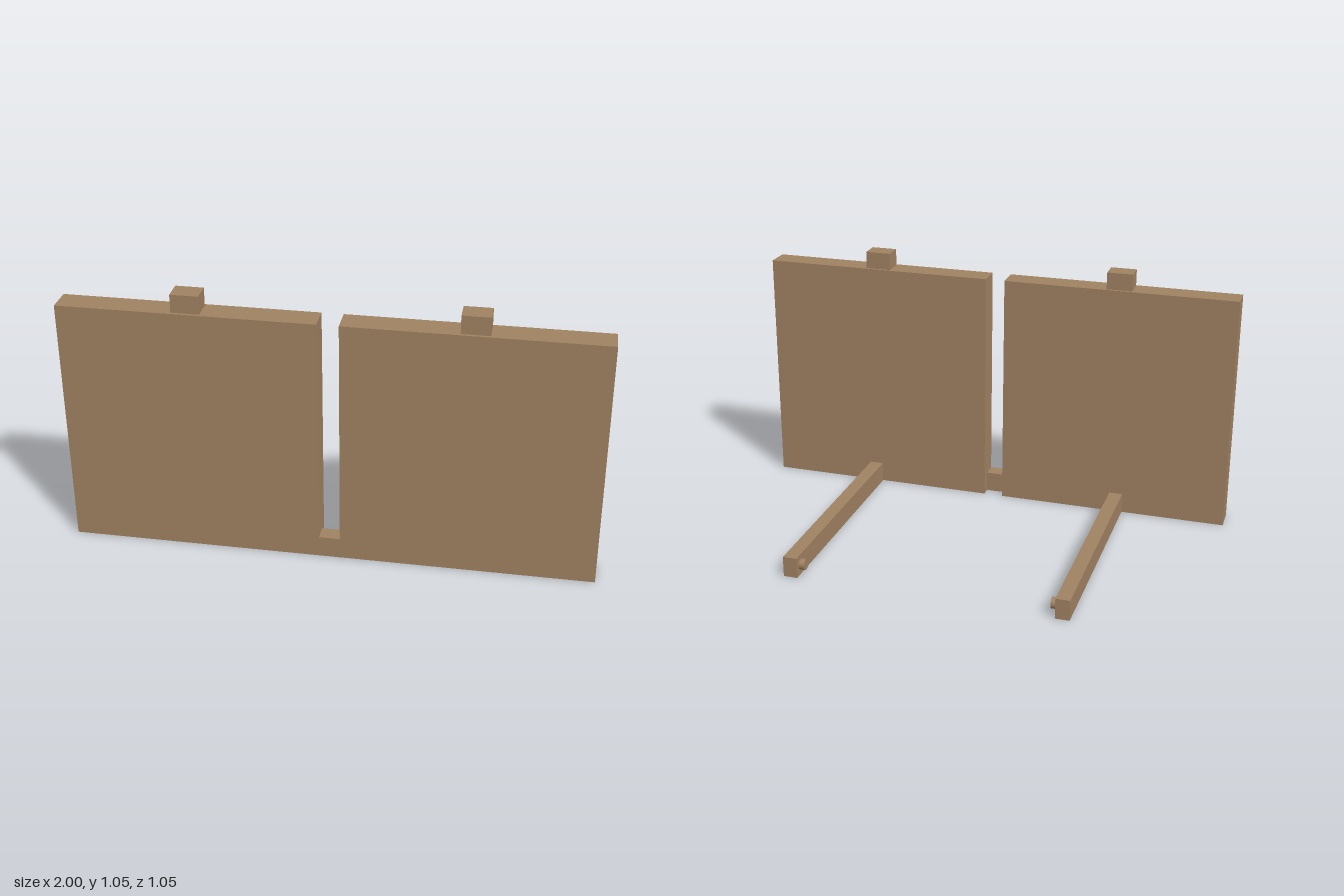
import * as THREE from 'three';

export function createModel() {
  const model = new THREE.Group();
  const wood = new THREE.MeshStandardMaterial({ color: 0xa08262 });
  wood.name = 'brown wood';

  // Box given by its extents along each axis
  function block(name, [x0, x1], [y0, y1], [z0, z1]) {
    const mesh = new THREE.Mesh(new THREE.BoxGeometry(x1 - x0, y1 - y0, z1 - z0), wood);
    mesh.position.set((x0 + x1) / 2, (y0 + y1) / 2, (z0 + z1) / 2);
    mesh.name = name;
    model.add(mesh);
  }

  // Low bridge joining the two panels, flush with their front
  block('bridge', [-0.04, 0.04], [0, 0.083], [0.465, 0.527]);

  for (const [side, s] of [['left', 1], ['right', -1]]) {
    const span = (a, b) => (s > 0 ? [a, b] : [-b, -a]);
    block(side + 'Panel', span(0.04, 1), [0, 0.976], [0.425, 0.527]);
    block(side + 'TopTab', span(0.465, 0.57), [0.976, 1.046], [0.436, 0.516]);
    block(side + 'Arm', span(0.514, 0.57), [0, 0.083], [-0.527, 0.425]);

    // Round peg on the inner face of the arm, near its rear end
    const peg = new THREE.Mesh(new THREE.CylinderGeometry(0.022, 0.022, 0.024, 16), wood);
    peg.rotation.z = Math.PI / 2;
    peg.position.set(s * 0.504, 0.042, -0.487);
    peg.name = side + 'Peg';
    model.add(peg);
  }
  return model;
}
